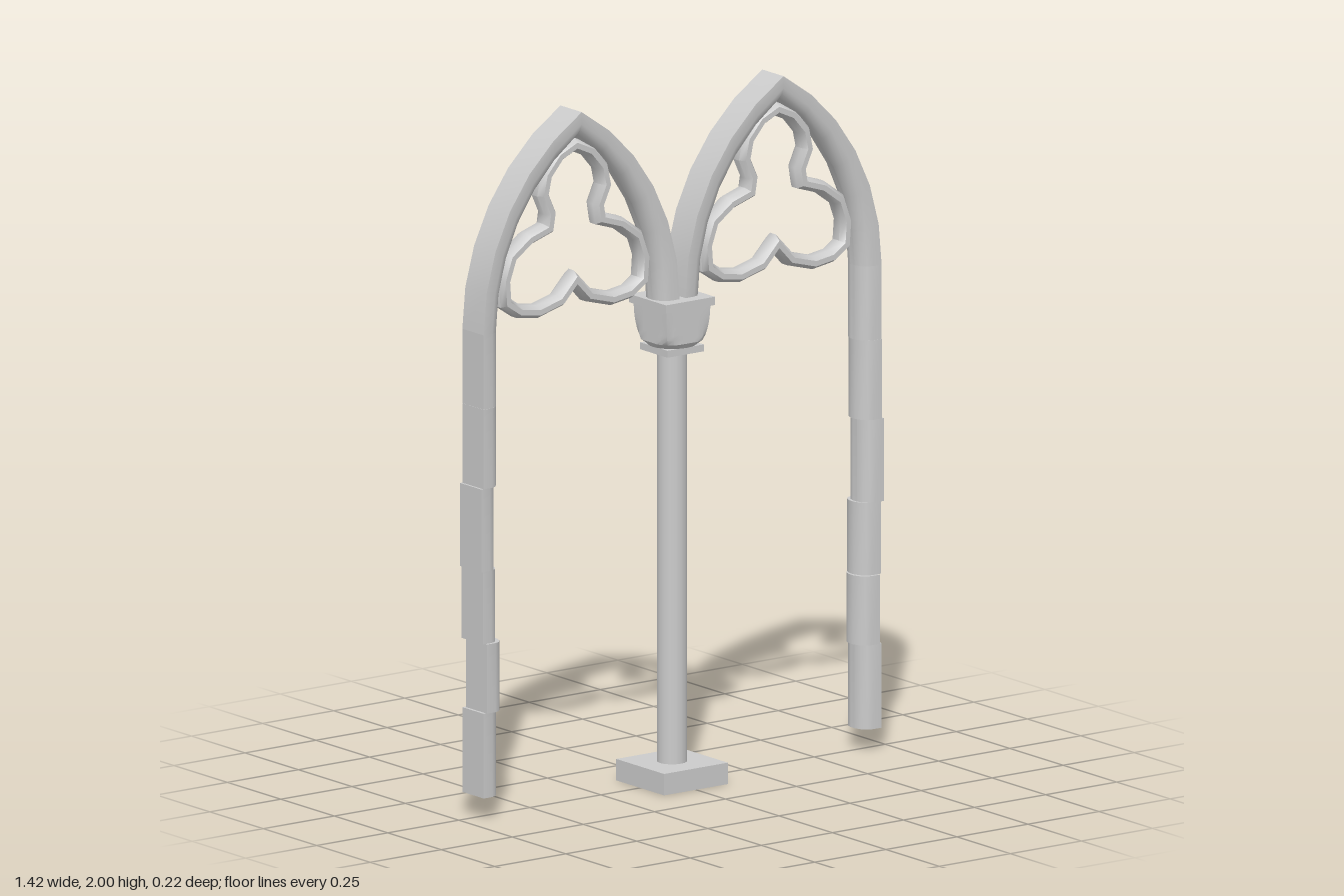
import * as THREE from 'three';
import { toCreasedNormals } from 'three/addons/utils/BufferGeometryUtils.js';

const stone = new THREE.MeshStandardMaterial({ color: 0xcccccc });

// Skin a list of equal-sized rings; each ring runs counterclockwise seen from ahead.
function loft(rings, closed = false, crease = 0.6) {
  const m = rings[0].length;
  const n = rings.length;
  const index = [];
  for (let i = 0; i < (closed ? n : n - 1); i++) {
    const k = (i + 1) % n;
    for (let j = 0; j < m; j++) {
      const l = (j + 1) % m;
      index.push(i * m + j, i * m + l, k * m + l, i * m + j, k * m + l, k * m + j);
    }
  }
  if (!closed) {
    const last = (n - 1) * m;
    for (let j = 1; j < m - 1; j++) {
      index.push(0, j + 1, j, last, last + j, last + j + 1);
    }
  }
  const g = new THREE.BufferGeometry();
  g.setAttribute('position', new THREE.Float32BufferAttribute(rings.flat(2), 3));
  g.setIndex(index);
  return toCreasedNormals(g, crease);
}

function add(parent, name, geometry, x = 0, y = 0, z = 0) {
  const mesh = new THREE.Mesh(geometry, stone);
  mesh.name = name;
  mesh.position.set(x, y, z);
  parent.add(mesh);
  return mesh;
}

const box = (w, h, d) => new THREE.BoxGeometry(w, h, d);

// Stone section as [depth from the outer face, z]: flat outside, rounded inside
const section = [
  [0, 0.05], [0, -0.05], [0.03, -0.05], [0.046, -0.044], [0.058, -0.03], [0.065, -0.01],
  [0.065, 0.01], [0.058, 0.03], [0.046, 0.044], [0.03, 0.05],
];

const CENTRE = 0.355;   // x of each arch's axis
const HALF = 0.345;     // outer half width of an arch
const SPRING = 1.405;   // height where the arches start
const RADIUS = 0.687;   // outer radius of each arc

// Pointed arch made of two arcs, mitred at the apex
function archGeometry() {
  const c = RADIUS - HALF;
  const n = 6;
  const rings = [];
  for (let i = 0; i <= 2 * n; i++) {
    const side = i <= n ? 1 : -1;
    const f = (i <= n ? i : 2 * n - i) / n;
    rings.push(section.map(([d, z]) => {
      const r = RADIUS - d;
      const t = Math.acos(c / r) * f;
      return [side * (r * Math.cos(t) - c), SPRING + r * Math.sin(t), z];
    }));
  }
  return loft(rings);
}

// Three-lobed tracery ring swept along a mitred outline
function trefoilGeometry() {
  const half = [
    [0, 1.51], [0.05, 1.457], [0.13, 1.435], [0.195, 1.445], [0.24, 1.475], [0.245, 1.54],
    [0.222, 1.605], [0.16, 1.65], [0.092, 1.672], [0.085, 1.715], [0.11, 1.77],
    [0.098, 1.825], [0.055, 1.875], [0, 1.9],
  ];
  const mirrored = half.slice(1, -1).reverse().map(([x, y]) => [-x, y]);
  const path = [...half, ...mirrored].map(([x, y]) => new THREE.Vector2(x, y));
  const rings = path.map((p, i) => {
    const a = p.clone().sub(path[(i + path.length - 1) % path.length]).normalize();
    const b = path[(i + 1) % path.length].clone().sub(p).normalize();
    const t = a.clone().add(b).normalize();
    const miter = Math.min(1.4, 1 / t.dot(a));
    return Array.from({ length: 8 }, (_, j) => {
      const angle = ((j + 0.5) / 8) * Math.PI * 2;
      const out = 0.02 * Math.sin(angle) * miter;
      return [p.x + t.y * out, p.y - t.x * out, 0.033 * Math.cos(angle)];
    });
  });
  return loft(rings, true, 0.8);
}

// Cushion capital: a square block whose corners are rounded away towards the bottom
function capitalGeometry() {
  const a = 0.077;
  const rings = [];
  for (let i = 0; i <= 8; i++) {
    const f = i / 8;
    const limit = 0.068 + (a * Math.SQRT2 - 0.068) * Math.sqrt(1 - (1 - f) ** 2);
    rings.push(Array.from({ length: 32 }, (_, j) => {
      const t = (j / 32) * Math.PI * 2;
      const square = a / Math.max(Math.abs(Math.cos(t)), Math.abs(Math.sin(t)));
      const r = Math.min(square, limit);
      return [r * Math.sin(t), 1.27 + 0.117 * f, r * Math.cos(t)];
    }));
  }
  return loft(rings, false, 0.5);
}

// Jamb of stacked stones, a few slightly out of line: [bottom, top, x shift, z shift]
const courses = [
  [0.065, 0.31, 0, 0],
  [0.31, 0.51, -0.009, 0.004],
  [0.51, 0.72, 0, -0.004],
  [0.72, 0.96, 0.008, 0],
  [0.96, 1.19, 0.001, 0.001],
  [1.19, SPRING, 0, 0],
];

function jamb(name) {
  const group = new THREE.Group();
  group.name = name;
  courses.forEach(([y0, y1, dx, dz], i) => {
    const ring = (y) => section.map(([d, z]) => [CENTRE + HALF - d + dx, y, z + dz]);
    add(group, `jambStone${i + 1}`, loft([ring(y0), ring(y1)]));
  });
  return group;
}

export function createModel() {
  const model = new THREE.Group();
  model.name = 'twinArchWindow';

  // Central column
  add(model, 'columnBase', box(0.224, 0.062, 0.224), 0, 0.031);
  add(model, 'columnShaft', new THREE.CylinderGeometry(0.043, 0.043, 1.2, 16), 0, 0.655);
  add(model, 'columnNeck', box(0.128, 0.02, 0.128), 0, 1.26);
  add(model, 'capital', capitalGeometry());
  add(model, 'abacus', box(0.172, 0.024, 0.172), 0, 1.397);

  // Arches with tracery, and the outer jambs
  const arch = archGeometry();
  const trefoil = trefoilGeometry();
  for (const [side, s] of [['left', 1], ['right', -1]]) {
    add(model, `${side}Arch`, arch, s * CENTRE);
    add(model, `${side}Trefoil`, trefoil, s * CENTRE);
    const post = jamb(`${side}Jamb`);
    post.scale.x = s;
    model.add(post);
  }
  return model;
}
